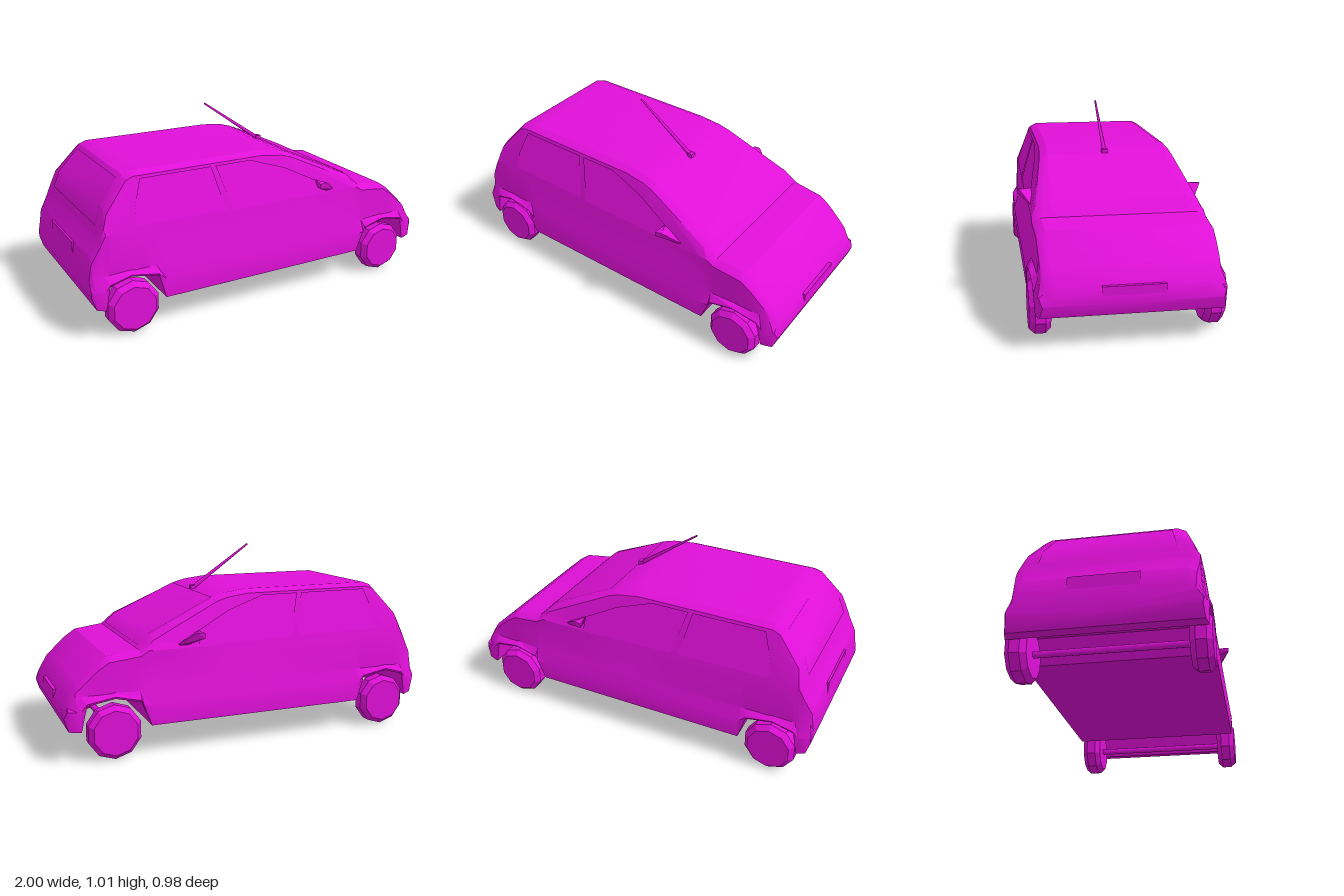
import * as THREE from 'three';
import { toCreasedNormals } from 'three/addons/utils/BufferGeometryUtils.js';
import { ConvexGeometry } from 'three/addons/geometries/ConvexGeometry.js';

// Side outlines of the body as [x, y]; the nose points to +x
const TOP = [[-1, 0.33], [-0.985, 0.42], [-0.94, 0.5], [-0.89, 0.64], [-0.77, 0.78], [-0.73, 0.795],
  [0, 0.795], [0.12, 0.78], [0.18, 0.762], [0.54, 0.595], [0.61, 0.53], [0.77, 0.51], [0.83, 0.47],
  [0.94, 0.37], [0.985, 0.3], [1, 0.26]];
const BOTTOM = [[-1, 0.23], [-0.98, 0.165], [-0.935, 0.155], [-0.91, 0.28], [-0.8, 0.31], [-0.66, 0.285],
  [-0.62, 0.155], [0.57, 0.155], [0.62, 0.28], [0.75, 0.31], [0.89, 0.285], [0.92, 0.155], [0.98, 0.16], [1, 0.22]];
const TAPER = [[-1, 0.95], [-0.95, 0.99], [-0.85, 1], [0.6, 1], [0.9, 0.97], [0.97, 0.95], [1, 0.9]];

function sample(profile, x) {
  for (let i = 1; i < profile.length; i++) {
    const [x0, y0] = profile[i - 1], [x1, y1] = profile[i];
    if (x <= x1) return y0 + (y1 - y0) * (x - x0) / (x1 - x0);
  }
  return profile[profile.length - 1][1];
}

// Half cross-section at x as [z, y], from the floor centre to the roof centre
function halfSection(x) {
  const top = sample(TOP, x), low = sample(BOTTOM, x), s = sample(TAPER, x);
  const edge = 0.435 - 0.3 * Math.max(0, top - 0.53);
  return [
    [0, low], [0.47, low],
    [0.475, Math.min(Math.max(0.26, low + 0.01), top - 0.035)],
    [0.447, Math.min(Math.max(0.33, low + 0.025), top - 0.03)],
    [0.44, Math.min(0.53, top - 0.025)],
    [edge, top - 0.02], [edge - 0.04, top], [0, top],
  ].map(([z, y]) => [z * s, y]);
}

function bodyGeometry() {
  const xs = [...new Set([...TOP, ...BOTTOM].map((p) => p[0]))].sort((a, b) => a - b);
  const pos = [], idx = [];
  let n = 0;
  xs.forEach((x) => {
    const half = halfSection(x);
    const ring = [...half, ...half.slice(1, -1).reverse().map(([z, y]) => [-z, y])];
    n = ring.length;
    ring.forEach(([z, y]) => pos.push(x, y, z));
  });
  for (let i = 0; i < xs.length - 1; i++) {
    for (let j = 0; j < n; j++) {
      const a = i * n + j, b = i * n + (j + 1) % n;
      idx.push(a, a + n, b, b, a + n, b + n);
    }
  }
  // End caps
  const last = (xs.length - 1) * n;
  for (let j = 1; j < n - 1; j++) idx.push(0, j, j + 1, last, last + j + 1, last + j);
  const g = new THREE.BufferGeometry();
  g.setAttribute('position', new THREE.Float32BufferAttribute(pos, 3));
  g.setIndex(idx);
  return toCreasedNormals(g, 0.45);
}

// Glass strip across the car from rows of [x, y, halfWidth]
function acrossPanel(rows) {
  const g = new THREE.PlaneGeometry(1, 1, 1, rows.length - 1), p = g.attributes.position;
  rows.forEach(([x, y, w], i) => {
    p.setXYZ(2 * i, x, y, w);
    p.setXYZ(2 * i + 1, x, y, -w);
  });
  g.computeVertexNormals();
  return g;
}

// Side glass from an outline in x and y, leaning inwards with the cabin
function sideGlass(outline) {
  const g = new THREE.ShapeGeometry(new THREE.Shape(outline.map(([x, y]) => new THREE.Vector2(x, y))));
  const p = g.attributes.position;
  for (let i = 0; i < p.count; i++) p.setZ(i, 0.445 - 0.33 * (p.getY(i) - 0.53));
  g.computeVertexNormals();
  return g;
}

export function createModel() {
  const car = new THREE.Group();
  car.name = 'car';
  const paint = new THREE.MeshStandardMaterial({ color: 0xe010d8, side: THREE.DoubleSide });
  paint.name = 'magenta';
  const add = (name, geometry, x = 0, y = 0, z = 0) => {
    const m = new THREE.Mesh(geometry, paint);
    m.name = name;
    m.position.set(x, y, z);
    car.add(m);
    return m;
  };

  add('body', bodyGeometry());

  // Front and rear glass
  add('windscreen', acrossPanel([[0.19, 0.761, 0.32], [0.54, 0.599, 0.345], [0.6, 0.544, 0.35]]));
  add('rearWindow', acrossPanel([[-0.925, 0.553, 0.335], [-0.893, 0.642, 0.32], [-0.79, 0.762, 0.295]]));

  // Side windows and mirrors
  const quarter = sideGlass([[-0.75, 0.55], [-0.26, 0.545], [-0.31, 0.765], [-0.7, 0.765], [-0.745, 0.64]]);
  const door = sideGlass([[-0.22, 0.54], [0.305, 0.535], [0.3, 0.61], [0.12, 0.7], [-0.08, 0.765], [-0.285, 0.765]]);
  const mirror = toCreasedNormals(new ConvexGeometry([
    [0.29, 0.605, 0.49], [0.29, 0.58, 0.49], [0.33, 0.61, 0.485], [0.3, 0.61, 0.42],
    [0.31, 0.57, 0.43], [0.36, 0.59, 0.45], [0.43, 0.535, 0.42], [0.37, 0.54, 0.43],
  ].map((p) => new THREE.Vector3(...p))), 0.3);
  for (const side of [1, -1]) {
    add('quarterWindow', quarter).scale.z = side;
    add('doorWindow', door).scale.z = side;
    add('mirror', mirror).scale.z = side;
  }

  // Blank number plates
  add('frontPlate', new THREE.BoxGeometry(0.03, 0.065, 0.3), 0.985, 0.272, 0);
  add('rearPlate', new THREE.BoxGeometry(0.02, 0.08, 0.34), -0.986, 0.38, 0);

  // Ten-sided wheels with bevelled rims, joined by axles
  const wheel = toCreasedNormals(new THREE.LatheGeometry(
    [[0, -0.052], [0.115, -0.052], [0.14, -0.025], [0.14, 0.025], [0.115, 0.052], [0, 0.052]]
      .map(([r, y]) => new THREE.Vector2(r, y)), 10), 0.2);
  const axle = new THREE.CylinderGeometry(0.018, 0.018, 0.76, 8);
  for (const x of [0.755, -0.79]) {
    for (const z of [0.425, -0.425]) add('wheel', wheel, x, 0.138, z).rotation.x = Math.PI / 2;
    add('axle', axle, x, 0.138, 0).rotation.x = Math.PI / 2;
  }

  // Aerial leaning back from the top of the windscreen
  const foot = new THREE.Vector3(0.18, 0.765, 0.01), tip = new THREE.Vector3(-0.16, 1.003, 0.01);
  const dir = tip.clone().sub(foot);
  const aerial = add('aerial', new THREE.CylinderGeometry(0.005, 0.012, dir.length(), 6));
  aerial.position.copy(foot).addScaledVector(dir, 0.5);
  aerial.quaternion.setFromUnitVectors(new THREE.Vector3(0, 1, 0), dir.normalize());
  add('aerialBase', new THREE.BoxGeometry(0.03, 0.03, 0.032), 0.175, 0.768, 0.01);

  return car;
}
